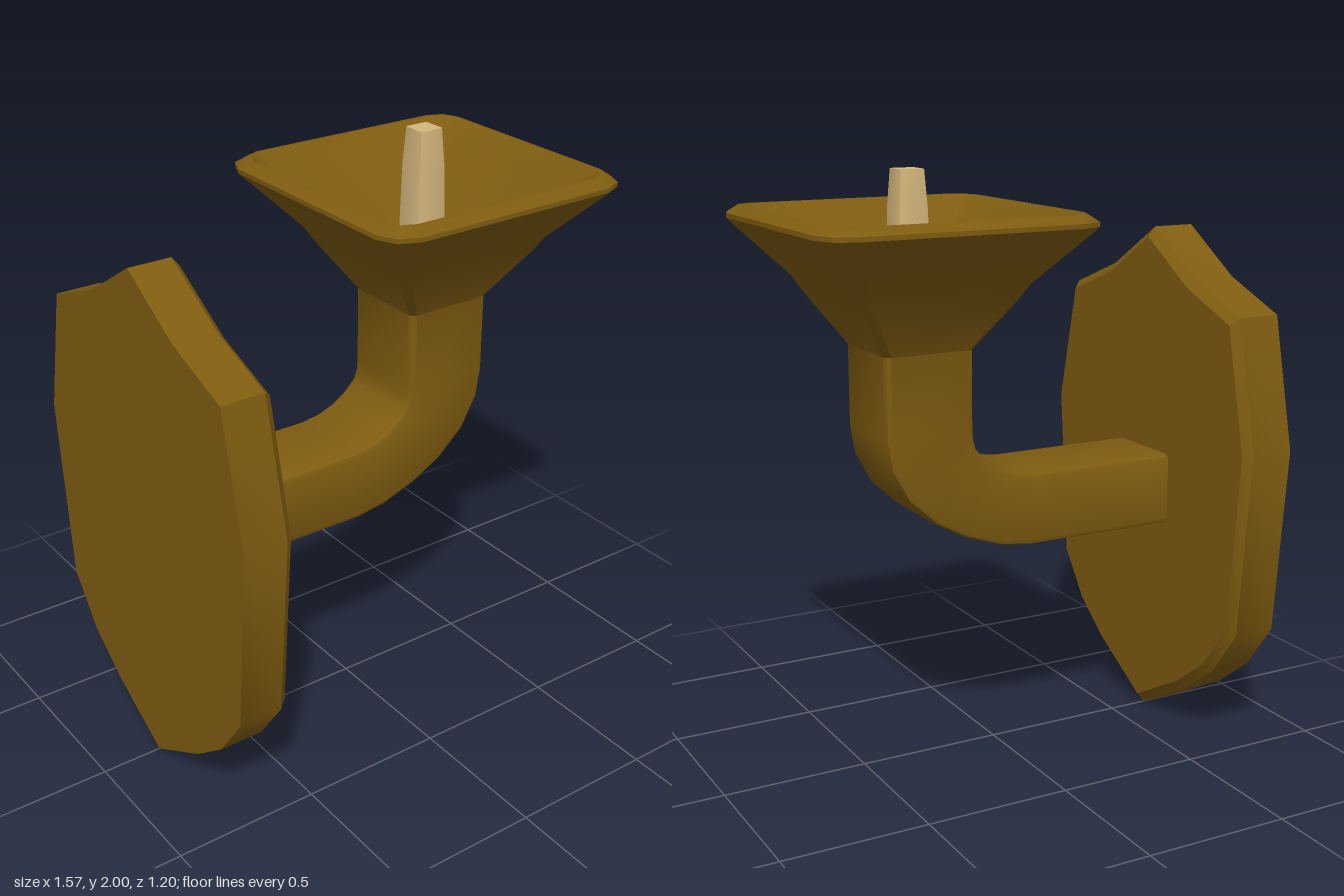
import * as THREE from 'three';
import { toCreasedNormals } from 'three/addons/utils/BufferGeometryUtils.js';

const V = (x, y, z) => new THREE.Vector3(x, y, z);

// Skins a row of equal-length rings and closes both ends with fans.
function loft(rings) {
  const n = rings[0].length;
  const points = rings.flat();
  const index = [];
  for (let i = 0; i < rings.length - 1; i++) {
    for (let j = 0; j < n; j++) {
      const a = i * n + j, b = i * n + (j + 1) % n;
      index.push(a, b, b + n, a, b + n, a + n);
    }
  }
  const cap = (ring, start, flip) => {
    const c = points.length;
    const box = new THREE.Box3().setFromPoints(ring);
    points.push(box.getCenter(V(0, 0, 0)));
    for (let j = 0; j < n; j++) {
      const a = start + j, b = start + (j + 1) % n;
      index.push(c, flip ? b : a, flip ? a : b);
    }
  };
  cap(rings[0], 0, true);
  cap(rings[rings.length - 1], (rings.length - 1) * n, false);
  const g = new THREE.BufferGeometry().setFromPoints(points);
  g.setIndex(index);
  return toCreasedNormals(g, 0.6);
}

// Rectangle with softened corners, spanning outer to inner edge and +-w in z.
function section([ox, oy, ix, iy, w, c]) {
  const mid = V((ox + ix) / 2, (oy + iy) / 2, 0);
  const dir = V((ix - ox) / 2, (iy - oy) / 2, 0);
  const h = dir.length();
  dir.normalize();
  const k = 0.3 * c;
  const corner = [[h, w - c], [h - k, w - k], [h - c, w]];
  const mirror = (sa, sb) => corner.map(([a, b]) => [a * sa, b * sb]);
  const flat = [
    ...mirror(1, 1), ...mirror(-1, 1).reverse(),
    ...mirror(-1, -1), ...mirror(1, -1).reverse(),
  ];
  return flat.map(([a, b]) => mid.clone().addScaledVector(dir, a).add(V(0, 0, b)));
}

const CX = 0.31; // axis of the cup and candle
const level = (y, h, c) => [CX + h, y, CX - h, y, h, c];

export function createModel() {
  const group = new THREE.Group();
  const wood = new THREE.MeshStandardMaterial({ color: 0x7f5c10 });
  wood.name = 'brown wood';
  const wax = new THREE.MeshStandardMaterial({ color: 0xd4b67c });
  wax.name = 'pale wax';
  const add = (name, geometry, material) => {
    const mesh = new THREE.Mesh(geometry, material);
    mesh.name = name;
    group.add(mesh);
  };

  // Shield-shaped wall plate, chamfered on the arm side
  const half = [[0.25, 1.615], [0.5, 1.52], [0.6, 1.08], [0.545, 0.44], [0.42, 0.27], [0.265, 0.15]];
  const outline = [
    [0, 1.77], ...half, [0, 0],
    ...half.map(([z, y]) => [-z, y]).reverse(),
  ];
  const plateRing = (x, s) => outline.map(([z, y]) => V(x, 0.9 + (y - 0.9) * s, z * s));
  add('wallPlate', loft([plateRing(-0.79, 1), plateRing(-0.64, 1), plateRing(-0.612, 0.96)]), wood);

  // Bent arm running up into the flared square cup, then down inside it
  const W = 0.157, C = 0.02;
  const path = [
    [-0.63, 0.74, -0.63, 0.99, W, C],
    [-0.06, 0.74, -0.08, 0.99, W, C],
    [0.05, 0.755, -0.01, 1.0, W, C],
    [0.18, 0.80, 0.05, 1.022, W, C],
    [0.29, 0.86, 0.10, 1.055, W, C],
    [0.39, 0.95, 0.14, 1.095, W, C],
    [0.45, 1.06, 0.15, 1.13, W, C],
    [0.466, 1.16, 0.153, 1.17, W, C],
    level(1.43, 0.157, C),
    level(1.6, 0.27, 0.03),
    level(1.65, 0.3, 0.04),
    level(1.82, 0.46, 0.09),
    level(1.835, 0.474, 0.1),
    level(1.85, 0.474, 0.1),
    level(1.873, 0.44, 0.08),
    level(1.873, 0.425, 0.07),
    level(1.84, 0.39, 0.05),
    level(1.52, 0.08, 0.02),
  ];
  add('armAndCup', loft(path.map(section)), wood);

  // Square tapered candle
  const candle = [[1.5, 0.058], [1.875, 0.05], [2, 0.042]];
  add('candle', loft(candle.map(([y, h]) => section(level(y, h, 0.004)))), wax);

  return group;
}
